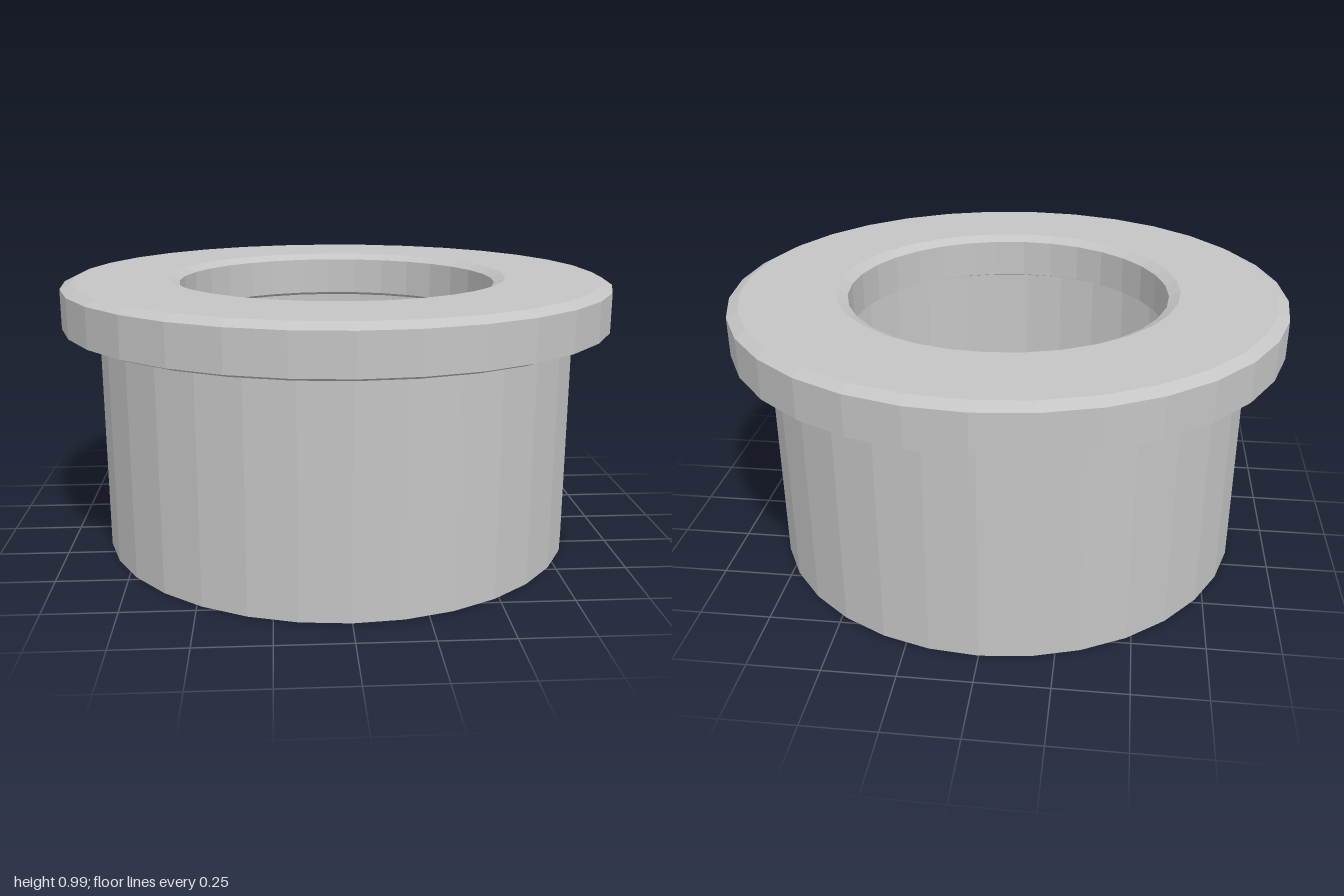
import * as THREE from 'three';

const SIDES = 32;

// Faceted solid of revolution; profile runs up the outside and down the inside
function faceted(name, profile, material) {
  const points = profile.map(([r, y]) => new THREE.Vector2(r, y));
  const geometry = new THREE.LatheGeometry(points, SIDES).toNonIndexed();
  geometry.computeVertexNormals();
  const mesh = new THREE.Mesh(geometry, material);
  mesh.name = name;
  return mesh;
}

export function createModel() {
  const group = new THREE.Group();
  group.name = 'pot';

  const grey = new THREE.MeshStandardMaterial({ color: 0xc4c4c4 });
  grey.name = 'light grey';

  // Hollow body with a closed base
  group.add(faceted('body', [
    [0, 0], [0.87, 0], [0.87, 0.82], [0.75, 0.82], [0.75, 0.1], [0, 0.1],
  ], grey));

  // Overhanging ring with bevelled edges inside and out
  group.add(faceted('rim', [
    [0.62, 0.81], [0.96, 0.81], [1, 0.825], [1, 0.965], [0.96, 0.985],
    [0.62, 0.985], [0.58, 0.965], [0.58, 0.825], [0.62, 0.81],
  ], grey));

  return group;
}
